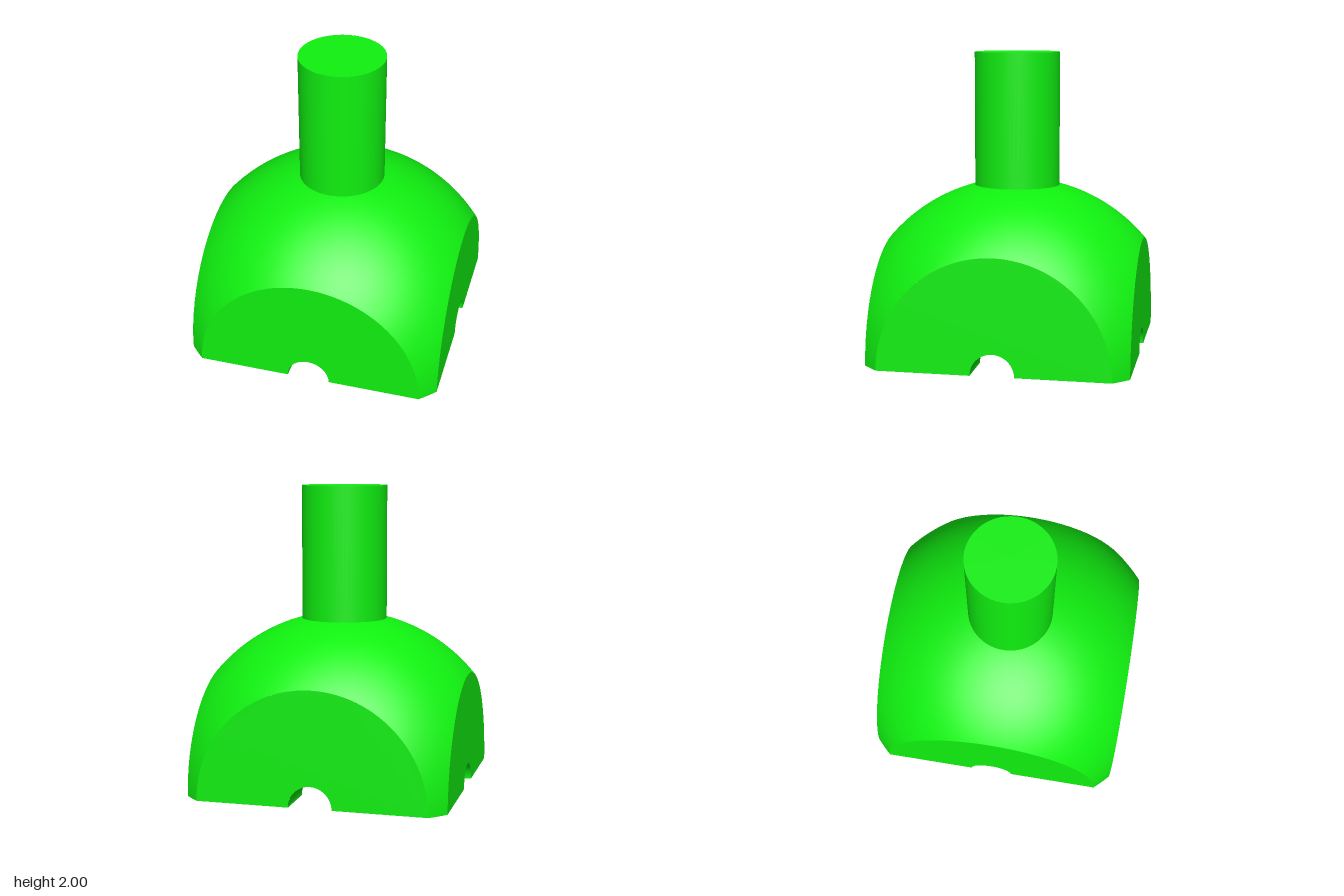
import * as THREE from 'three';

const R = 8 / 7;                              // outer dome radius
const A = 6 / 7;                              // distance of the flat sides from the axis
const B = Math.sqrt(R * R - A * A);           // radius of the round flats
const C = 4 / 7;                              // cavity radius
const H = 1 / 7;                              // channel radius
const ZC = Math.sqrt(C * C - H * H);          // where the channels meet the cavity
const POST = 2 / 7;                           // post radius

// Spherical patch around the y axis, from polar angle `start` to `end(phi)`.
function spherePatch(radius, phis, start, end, inward) {
  const rows = 32, pos = [], nor = [], idx = [];
  const s = inward ? -1 : 1;
  phis.forEach((phi, i) => {
    const last = end(phi);
    for (let j = 0; j <= rows; j++) {
      const t = start + (last - start) * j / rows;
      const n = [Math.sin(t) * Math.sin(phi), Math.cos(t), Math.sin(t) * Math.cos(phi)];
      pos.push(...n.map(v => v * radius));
      nor.push(...n.map(v => v * s));
      if (i && j) {
        const d = i * (rows + 1) + j - 1, c = d + 1, a = d - rows - 1, b = a + 1;
        if (inward) idx.push(a, c, b, a, d, c);
        else idx.push(a, b, c, a, c, d);
      }
    }
  });
  const g = new THREE.BufferGeometry();
  g.setAttribute('position', new THREE.Float32BufferAttribute(pos, 3));
  g.setAttribute('normal', new THREE.Float32BufferAttribute(nor, 3));
  g.setIndex(idx);
  return g;
}

// Angles for a quarter turn centred on a side: dense across +-half, then the corner.
function quarterAngles(half, inner, corner) {
  const out = [];
  for (let i = 0; i <= inner; i++) out.push(half * Math.sin(Math.PI * (i / inner - 0.5)));
  for (let i = 1; i <= corner; i++) out.push(half + (Math.PI / 2 - 2 * half) * i / corner);
  return out;
}

export function createModel() {
  const model = new THREE.Group();
  const material = new THREE.MeshStandardMaterial({ color: 0x10f010 });
  const doubleSided = new THREE.MeshStandardMaterial({ color: 0x10f010, side: THREE.DoubleSide });

  const add = (name, geometry, turn = 0, mat = material) => {
    const mesh = new THREE.Mesh(geometry, mat);
    mesh.name = name;
    mesh.rotation.y = turn * Math.PI / 2;
    model.add(mesh);
    return mesh;
  };

  // Post standing on the dome
  const bottom = Math.sqrt(R * R - POST * POST) - 0.01;
  add('post', new THREE.CylinderGeometry(POST, POST, 2 - bottom, 64)).position.y = (2 + bottom) / 2;

  // Dome cut by the four flat sides
  const dome = spherePatch(R, quarterAngles(Math.acos(A / R), 32, 4), Math.asin(POST / R),
    phi => {
      const reach = A / Math.max(Math.abs(Math.cos(phi)), Math.abs(Math.sin(phi)));
      return Math.asin(Math.min(1, reach / R));
    }, false);

  // Hollow underneath, open where the channels enter
  const cavity = spherePatch(C, quarterAngles(Math.atan(H / ZC), 16, 16), 0,
    phi => {
      const x = ZC * Math.tan(phi);
      const y = Math.abs(x) < H ? Math.sqrt(H * H - x * x) : 0;
      return Math.acos(y / C);
    }, true);

  // Half-round flat with the channel mouth
  const flat = new THREE.Shape();
  flat.moveTo(B, 0);
  flat.absarc(0, 0, B, 0, Math.PI, false);
  flat.lineTo(-H, 0);
  flat.absarc(0, 0, H, Math.PI, 0, true);
  const flatSide = new THREE.ShapeGeometry(flat, 40).translate(0, 0, A);

  // Underside foot between two channels
  const foot = new THREE.Shape();
  foot.moveTo(A, H);
  foot.lineTo(A, B);
  foot.absarc(0, 0, R, Math.atan2(B, A), Math.atan2(A, B), false);
  foot.lineTo(H, A);
  foot.lineTo(H, ZC);
  foot.absarc(0, 0, C, Math.atan2(ZC, H), Math.atan2(H, ZC), true);
  const footFace = new THREE.ShapeGeometry(foot, 16).rotateX(Math.PI / 2);

  // Half-round channel from the flat side to the cavity
  const channel = new THREE.CylinderGeometry(H, H, A - ZC, 32, 1, true, Math.PI / 2, Math.PI)
    .rotateX(Math.PI / 2).translate(0, 0, (A + ZC) / 2);

  for (let k = 0; k < 4; k++) {
    add('domeQuarter', dome, k);
    add('cavityQuarter', cavity, k);
    add('flatSide', flatSide, k);
    add('footFace', footFace, k);
    add('channel', channel, k, doubleSided);
  }
  return model;
}
